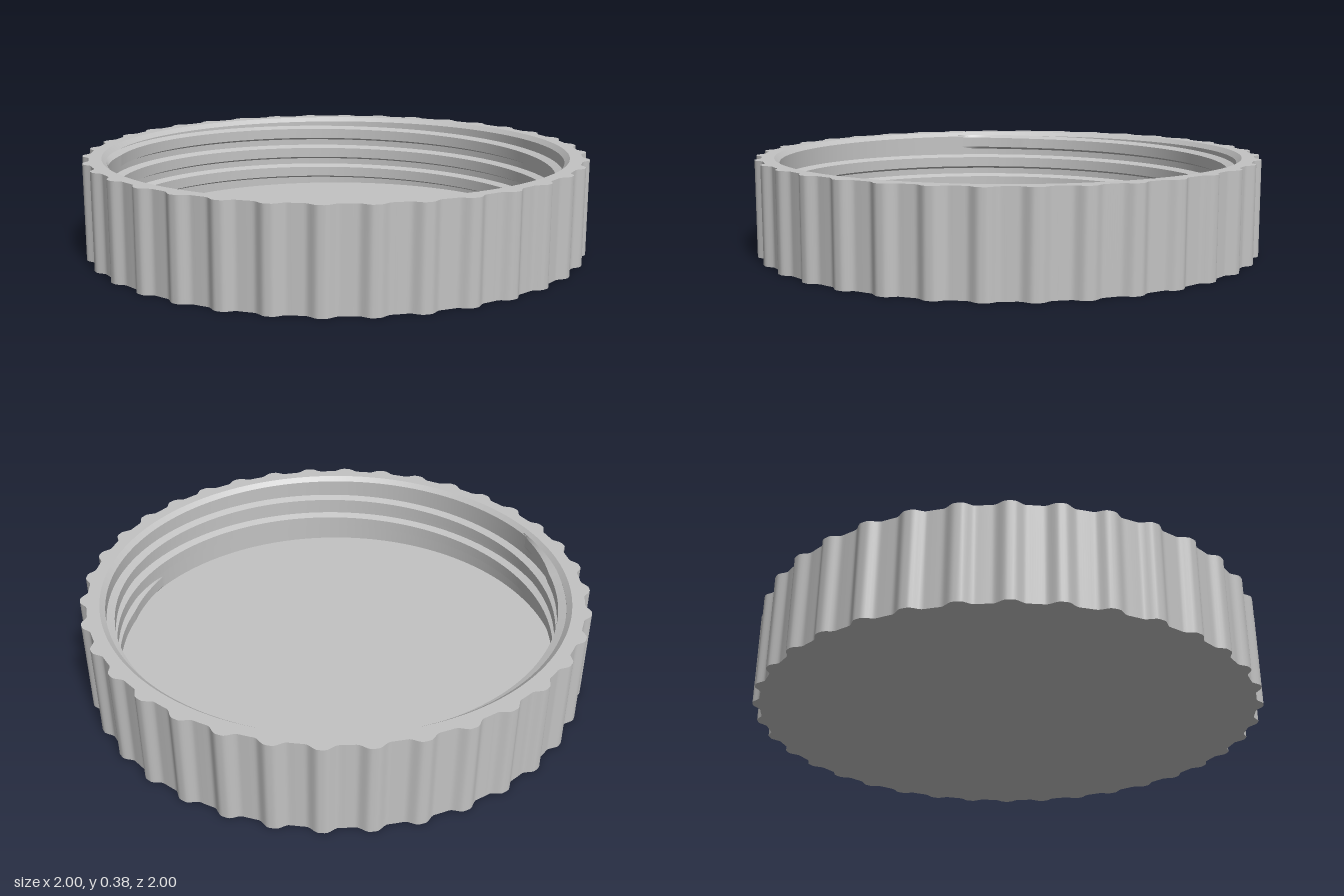
import * as THREE from 'three';

const H = 0.375;          // overall height
const FLOOR = 0.055;      // height of the inner floor
const WALL = 0.905;       // inner wall radius
const MOUTH = 0.925;      // radius at the top of the mouth chamfer
const CREST = 0.875;      // thread crest radius
const LOBES = 36;
const SEGS = 720;

const point = (a, r, y) => [Math.cos(a) * r, y, -Math.sin(a) * r];

// Outer radius: narrow rounded grip ribs with wider shallow valleys between
function gripRadius(a) {
  const step = 360 / LOBES;
  const deg = THREE.MathUtils.radToDeg(a);
  const off = Math.abs(deg - Math.round(deg / step) * step);
  return 1 - 0.026 * THREE.MathUtils.smoothstep(off, 0.6, 3.3);
}

// Smooth strip between two edge curves, swept from angle a0 to a1
function strip(edgeA, edgeB, a0 = 0, a1 = Math.PI * 2, segs = SEGS) {
  const closed = Math.abs(a1 - a0 - Math.PI * 2) < 1e-6;
  const pos = [], idx = [];
  const count = closed ? segs : segs + 1;
  for (let i = 0; i < count; i++) {
    const a = a0 + (a1 - a0) * i / segs;
    pos.push(...edgeA(a), ...edgeB(a));
  }
  for (let i = 0; i < segs; i++) {
    const p = 2 * i, q = 2 * ((i + 1) % count);
    idx.push(p, q, q + 1, p, q + 1, p + 1);
  }
  const g = new THREE.BufferGeometry();
  g.setAttribute('position', new THREE.Float32BufferAttribute(pos, 3));
  g.setIndex(idx);
  g.computeVertexNormals();
  return g;
}

export function createModel() {
  const group = new THREE.Group();
  group.name = 'screwLid';
  const grey = new THREE.MeshStandardMaterial({ color: 0xc2c2c2 });
  grey.name = 'grey plastic';

  const add = (name, geometry, parent = group) => {
    const mesh = new THREE.Mesh(geometry, grey);
    mesh.name = name;
    parent.add(mesh);
  };
  const ring = (r, y) => a => point(a, r, y);
  const grip = y => a => point(a, gripRadius(a), y);

  // Lid body, from the underside out, up, over the rim and down to the floor
  add('underside', strip(ring(0, 0), grip(0)));
  add('gripWall', strip(grip(0), grip(H)));
  add('rim', strip(grip(H), ring(MOUTH, H)));
  add('mouthChamfer', strip(ring(MOUTH, H), ring(WALL, H - 0.018)));
  add('innerWall', strip(ring(WALL, H - 0.018), ring(WALL, FLOOR)));
  add('floor', strip(ring(WALL, FLOOR), ring(0, FLOOR)));

  // Helical inner thread with a trapezoid section, fading out at both ends
  const thread = new THREE.Group();
  thread.name = 'thread';
  group.add(thread);
  const pitch = 0.093;
  const start = -Math.PI / 3, end = Math.PI * 5;
  const height = a => 0.109 + pitch * (a - Math.PI / 4) / (Math.PI * 2);
  const fade = a => THREE.MathUtils.clamp(Math.min(a - start, end - a) / 0.35, 0, 1);
  const rail = (r, dy) => a => point(
    a, WALL + 0.002 + (r - WALL - 0.002) * fade(a), height(a) + dy);
  const rails = [
    rail(WALL + 0.002, 0.034), rail(CREST, 0.022),
    rail(CREST, -0.022), rail(WALL + 0.002, -0.034),
  ];
  ['threadTop', 'threadCrest', 'threadBottom'].forEach((name, i) =>
    add(name, strip(rails[i], rails[i + 1], start, end, 1200), thread));

  return group;
}
